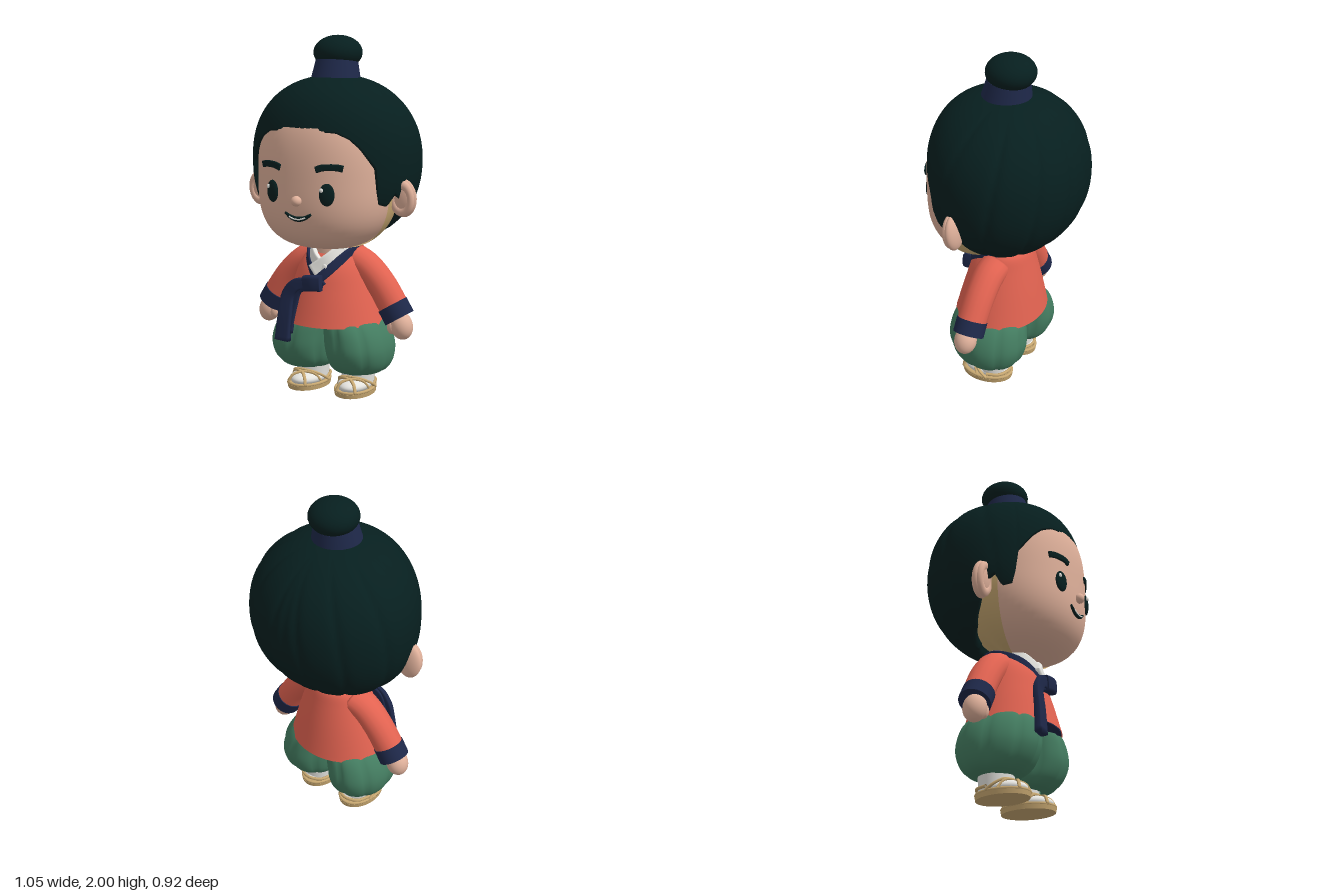
import * as THREE from 'three';

const material = (name, color, side = THREE.FrontSide) => {
  const m = new THREE.MeshStandardMaterial({ color, side });
  m.name = name;
  return m;
};
const V = (x, y, z) => new THREE.Vector3(x, y, z);
const rad = Math.PI / 180;
const { smoothstep, lerp } = THREE.MathUtils;
const spow = (v, e) => Math.sign(v) * Math.pow(Math.abs(v), e);

// Smooth surface from a rule: u runs down the rows, v runs around
function grid(rows, cols, rule, closed = true) {
  const pos = [], index = [], w = closed ? cols : cols + 1;
  for (let i = 0; i <= rows; i++)
    for (let j = 0; j < w; j++) pos.push(...rule(i / rows, j / cols, i));
  for (let i = 0; i < rows; i++)
    for (let j = 0; j < cols; j++) {
      const k = (j + 1) % w, a = i * w + j, b = i * w + k, c = a + w, d = b + w;
      index.push(a, c, b, b, c, d);
    }
  const g = new THREE.BufferGeometry();
  g.setAttribute('position', new THREE.Float32BufferAttribute(pos, 3));
  g.setIndex(index);
  g.computeVertexNormals();
  return g;
}

// Rounded body from sections [y, rx, rz, cx, cz], listed top to bottom
function loft(sections, rows, cols, fold = () => 1) {
  const size = new THREE.CatmullRomCurve3(sections.map(s => V(s[1], s[0], s[2])));
  const mid = new THREE.CatmullRomCurve3(sections.map(s => V(s[3], s[0], s[4])));
  return grid(rows, cols, (u, v) => {
    const r = size.getPoint(u), c = mid.getPoint(u), a = v * 2 * Math.PI, f = fold(a);
    return [c.x + r.x * f * Math.sin(a), r.y, c.z + r.z * f * Math.cos(a)];
  });
}

// Band along a path; n gives its facing, e the roundness (1 = oval section)
function ribbon(points, w, t, n = p => V(p.x, 0, p.z), e = 0.4, rows = 24) {
  const curve = new THREE.CatmullRomCurve3(points.map(p => V(...p)));
  return grid(rows + 2, 16, (u0, v, i) => {
    const u = Math.min(Math.max((i - 1) / rows, 0), 1);
    const p = curve.getPoint(u), T = curve.getTangent(u), N = n(p);
    N.addScaledVector(T, -N.dot(T)).normalize();
    const B = T.clone().cross(N), a = -v * 2 * Math.PI;
    const k = i === 0 || i === rows + 2 ? 0 : 0.5;
    const width = typeof w === 'function' ? w(u) : w, thick = typeof t === 'function' ? t(u) : t;
    p.addScaledVector(N, k * thick * spow(Math.cos(a), e)).addScaledVector(B, k * width * spow(Math.sin(a), e));
    return [p.x, p.y, p.z];
  });
}

// Distance from the centre to a superellipsoid in direction (azimuth a, elevation e)
function reach(a, e, rx, ry, rz, h, p) {
  const x = Math.abs(Math.cos(e) * Math.sin(a)) / rx, z = Math.abs(Math.cos(e) * Math.cos(a)) / rz;
  const y = Math.abs(Math.sin(e)) / ry;
  return Math.pow(Math.pow(x ** h + z ** h, p / h) + y ** p, -1 / p);
}
const polar = (c, a, e, r) => [c[0] + r * Math.cos(e) * Math.sin(a), c[1] + r * Math.sin(e), c[2] + r * Math.cos(e) * Math.cos(a)];

const HEAD = [0, 1.22, 0.05], HAIR = [0, 1.32, -0.03];
// The skull narrows behind the ears
const headRadius = (a, e) => (1 - 0.06 * smoothstep(-Math.cos(a), 0, 0.5)) *
  reach(a, e, 0.4, e > 0 ? 0.48 : 0.385, Math.cos(a) > 0 ? 0.372 : 0.34, 2.2, 2.5 + 0.7 * Math.cos(a));
// Front surface depth of the face at (x, y)
function faceZ(x, y) {
  const p = 3.2, h = 2.2, dy = Math.abs(y - HEAD[1]) / (y > HEAD[1] ? 0.48 : 0.385);
  return HEAD[2] + 0.372 * Math.pow(Math.pow(1 - dy ** p, h / p) - Math.pow(Math.abs(x / 0.4), h), 1 / h);
}
// Hairline: [azimuth, elevation] in degrees, from forehead to nape
const HAIRLINE = [[0, 25.5], [4, 23.5], [27, 22], [36, 18], [43, 12], [54, -2], [57, -25], [65, -27], [70, -19], [77, -24], [83, -38], [94, -52], [120, -69], [180, -76]];
function hairEnd(deg) {
  let i = 1;
  while (i < HAIRLINE.length - 1 && HAIRLINE[i][0] < deg) i++;
  const [a, b] = [HAIRLINE[i - 1], HAIRLINE[i]];
  return lerp(a[1], b[1], (deg - a[0]) / (b[0] - a[0])) * rad;
}

export function createModel() {
  const skin = material('skin', 0xe0b19b), hairMat = material('hair', 0x071f1f, THREE.DoubleSide);
  const navy = material('navy cloth', 0x1e2849, THREE.DoubleSide), coral = material('coral cloth', 0xe26351, THREE.DoubleSide);
  const green = material('green cloth', 0x447d61, THREE.DoubleSide), white = material('white cloth', 0xe6e5e0);
  const straw = material('straw', 0xc9a972, THREE.DoubleSide);
  const root = new THREE.Group();
  const add = (name, geo, mat, pos = [0, 0, 0], scale = [1, 1, 1], parent = root) => {
    const m = new THREE.Mesh(geo, mat);
    m.name = name;
    m.position.set(...pos);
    m.scale.set(...scale);
    parent.add(m);
    return m;
  };
  const ball = new THREE.SphereGeometry(1, 32, 24);
  const facing = () => V(0, 0, 1);

  // Head and the straw-coloured patch behind the ears
  add('head', grid(40, 64, (u, v) => {
    const a = v * 2 * Math.PI, e = (90 - 180 * u) * rad;
    return polar(HEAD, a, e, headRadius(a, e));
  }), skin);
  add('undercut', grid(40, 40, (u, v) => {
    const a = (79 + 202 * v) * rad, e = (40 - 130 * u) * rad;
    return polar(HEAD, a, e, headRadius(a, e) * 1.016);
  }, false), straw);

  // Combed hair cap with swept strand grooves and an inward rim
  add('hair', grid(57, 180, (u, v, i) => {
    const deg = Math.abs(v * 360 - 180), a = (v * 360 - 180) * rad, c = Math.cos(a);
    const t = Math.min(i / 55, 1), e = Math.PI / 2 - t * (Math.PI / 2 - hairEnd(deg));
    const strand = Math.pow(1 - Math.abs(Math.sin(deg * rad * 6 + 2.4 * t)), 3) * smoothstep(deg, 50, 105) * smoothstep(t, 0.1, 0.4);
    const off = (180 - deg) / 3;
    const parting = Math.exp(-off * off) * smoothstep(t, 0.15, 0.4) * (1 - smoothstep(t, 0.6, 0.9));
    const p = e > 0 ? 2.15 + 0.05 * c + 0.5 * Math.max(c, 0) ** 2 : 2.3 + 0.25 * c;
    const r = reach(a, e, 0.477, 0.458, c > 0 ? 0.437 : 0.428, 2.05, p) * (1.01 - 0.026 * strand - 0.015 * parting);
    return polar(HAIR, a, e, r * (i > 55 ? 1 - 0.07 * (i - 55) : 1));
  }), hairMat);

  // Topknot and its tie
  const tie = add('topknotTie', new THREE.CylinderGeometry(0.118, 0.141, 0.115, 40), navy, [0, 1.8, -0.015]);
  tie.rotation.x = -0.12;
  add('topknot', ball, hairMat, [0, 1.905, -0.034], [0.136, 0.095, 0.138]);

  // Face details
  for (const s of [1, -1]) {
    const ear = new THREE.Group();
    ear.name = s > 0 ? 'leftEar' : 'rightEar';
    ear.position.set(s * 0.447, 1.135, 0.055);
    ear.rotation.x = 0.08;
    add('earShell', ball, skin, [0, 0, 0], [0.078, 0.106, 0.038], ear);
    add('earRim', new THREE.TorusGeometry(0.056, 0.022, 12, 32), skin, [0, 0, 0.018], [0.93, 1.3, 1], ear);
    root.add(ear);

    const eye = add(s > 0 ? 'leftEye' : 'rightEye', ball, hairMat, [s * 0.165, 1.175, faceZ(0.165, 1.175)], [0.042, 0.06, 0.016]);
    eye.rotation.y = s * 0.3;
    const gx = s * 0.165 - 0.022;
    add('eyeGlint', ball, white, [gx, 1.2, faceZ(gx, 1.2) + 0.014], [0.011, 0.012, 0.008]);

    const brow = [[0.108, 1.306], [0.14, 1.317], [0.18, 1.32], [0.215, 1.319], [0.243, 1.312]];
    add(s > 0 ? 'leftBrow' : 'rightBrow', ribbon(brow.map(([x, y]) => [s * x, y, faceZ(x, y) + 0.002]), 0.036, 0.018, facing, 0.5), hairMat);
  }
  add('nose', ball, skin, [0, 1.135, 0.432], [0.029, 0.028, 0.028]);
  const smile = (k, lift) => [-1, -0.5, 0, 0.5, 1].map(f => [f * k, 1.036 + 0.028 * (f * k / 0.075) ** 2, faceZ(f * k, 1.04) + lift]);
  add('mouth', ribbon(smile(0.078, 0.003), u => 0.014 + 0.014 * Math.sin(Math.PI * u), 0.02, facing, 0.8), hairMat);
  add('teeth', ribbon(smile(0.05, 0.012), 0.008, 0.008, facing, 0.8), white);

  // Jacket
  add('neck', new THREE.CylinderGeometry(0.115, 0.12, 0.14, 32), skin, [0, 0.82, 0.01]);
  add('jacket', loft([[0.85, 0.11, 0.095, 0, -0.035], [0.82, 0.155, 0.13, 0, -0.025], [0.74, 0.195, 0.176, 0, 0.002],
    [0.6, 0.243, 0.214, 0, 0.012], [0.41, 0.3, 0.257, 0, 0.022]], 24, 56), coral);
  add('jacketLining', new THREE.CylinderGeometry(1, 1, 0.012, 48), navy, [0, 0.416, 0.02], [0.294, 1, 0.252]);

  // Arms: sleeve, cuff, hand and thumb
  for (const s of [1, -1]) {
    const side = s > 0 ? 'left' : 'right';
    add(side + 'Sleeve', ribbon([[0.12, 0.765, -0.015], [0.2, 0.725, -0.005], [0.29, 0.635, 0], [0.385, 0.495, 0.005]].map(p => [s * p[0], p[1], p[2]]),
      u => 0.155 + 0.015 * u, u => 0.185 - 0.02 * u, facing, 1), coral);
    const cuff = add(side + 'Cuff', new THREE.CylinderGeometry(0.088, 0.088, 0.085, 32), navy, [s * 0.387, 0.488, 0.005]);
    cuff.rotation.z = s * 0.555;
    const hand = add(side + 'Hand', ball, skin, [s * 0.425, 0.415, 0.015], [0.063, 0.08, 0.064]);
    hand.rotation.z = s * 0.3;
    add(side + 'Thumb', ball, skin, [s * 0.38, 0.41, 0.04], [0.029, 0.044, 0.03]);
  }

  // Crossed collars, the left side lying on top
  for (const s of [-1, 1]) {
    const lift = s > 0 ? 0.01 : 0;
    const mirror = p => [s * p[0], p[1], p[2] + lift];
    add('innerCollar', ribbon([[0.1, 0.845, 0], [0.09, 0.82, 0.09], [0.05, 0.775, 0.152], [-0.035, 0.71, 0.188]].map(mirror), 0.075, 0.03), white);
    add('collar', ribbon([[0, 0.84, -0.14], [0.09, 0.84, -0.105], [0.142, 0.825, -0.01], [0.11, 0.78, 0.108], [0.05, 0.71, 0.178], [-0.035, 0.63, 0.212]].map(mirror), 0.054, 0.025), navy);
  }

  // Jacket tie: knot and hanging tails
  add('tieKnot', ribbon([[-0.06, 0.645, 0.236], [-0.01, 0.652, 0.242], [0.04, 0.655, 0.236]], 0.09, 0.058, facing, 0.5), navy);
  add('tieBackTail', ribbon([[-0.06, 0.64, 0.235], [-0.115, 0.61, 0.235], [-0.145, 0.52, 0.24], [-0.165, 0.36, 0.262]], 0.07, 0.025, facing), navy);
  add('tieFrontTail', ribbon([[-0.03, 0.645, 0.24], [-0.11, 0.635, 0.248], [-0.16, 0.575, 0.25], [-0.175, 0.45, 0.265], [-0.185, 0.315, 0.275]],
    u => 0.062 + 0.028 * u, u => 0.025 + 0.02 * u, facing), navy);

  // Puffy trousers, socks and straw sandals
  const folds = a => 1.02 - 0.055 * Math.pow(1 - Math.abs(Math.sin(4 * a + 0.4)), 2);
  const up = () => V(0, 1, 0.05);
  for (const s of [1, -1]) {
    const side = s > 0 ? 'left' : 'right';
    add(side + 'TrouserLeg', loft([[0.46, 0.13, 0.17, s * 0.125, 0.02], [0.41, 0.165, 0.21, s * 0.14, 0.02], [0.34, 0.183, 0.228, s * 0.16, 0.02],
      [0.26, 0.187, 0.23, s * 0.171, 0.018], [0.18, 0.173, 0.2, s * 0.169, 0.012], [0.135, 0.14, 0.155, s * 0.163, 0.005],
      [0.12, 0.08, 0.1, s * 0.155, 0]], 30, 64, a => folds(s * a)), green);

    const foot = new THREE.Group();
    foot.name = side + 'Foot';
    foot.position.set(s * 0.15, 0, 0.035);
    foot.rotation.y = s * 0.06;
    root.add(foot);
    const addFoot = (name, geo, mat, pos, scale) => add(name, geo, mat, pos, scale, foot);
    addFoot('sockAnkle', new THREE.CylinderGeometry(0.1, 0.092, 0.09, 32), white, [0, 0.1, -0.04]);
    addFoot('sockFoot', ball, white, [0, 0.05, 0], [0.092, 0.046, 0.143]);
    addFoot('sole', new THREE.CylinderGeometry(1, 0.97, 0.024, 40), straw, [0, 0.012, 0], [0.112, 1, 0.158]);
    const loop = Array.from({ length: 16 }, (_, i) => {
      const a = i / 16 * 2 * Math.PI;
      return V(0.104 * Math.sin(a), 0.03, 0.15 * Math.cos(a));
    });
    addFoot('soleRope', new THREE.TubeGeometry(new THREE.CatmullRomCurve3(loop, true), 48, 0.009, 8, true), straw);
    for (const k of [1, -1]) {
      addFoot('crossStrap', ribbon([[k * 0.1, 0.03, 0.02], [k * 0.065, 0.083, 0.05], [0, 0.09, 0.08], [-k * 0.04, 0.075, 0.115], [-k * 0.06, 0.03, 0.135]], 0.018, 0.014, up, 0.7), straw);
      addFoot('sideStrap', ribbon([[k * 0.105, 0.03, -0.04], [k * 0.1, 0.06, 0], [k * 0.065, 0.09, 0.045], [0, 0.1, 0.06]], 0.018, 0.014, up, 0.7), straw);
    }
    const heel = [-90, -45, 0, 45, 90].map(d => V(0.102 * Math.sin(d * rad), 0.055, -0.04 - 0.102 * Math.cos(d * rad)));
    addFoot('heelStrap', new THREE.TubeGeometry(new THREE.CatmullRomCurve3(heel), 24, 0.009, 8), straw);
  }
  return root;
}
